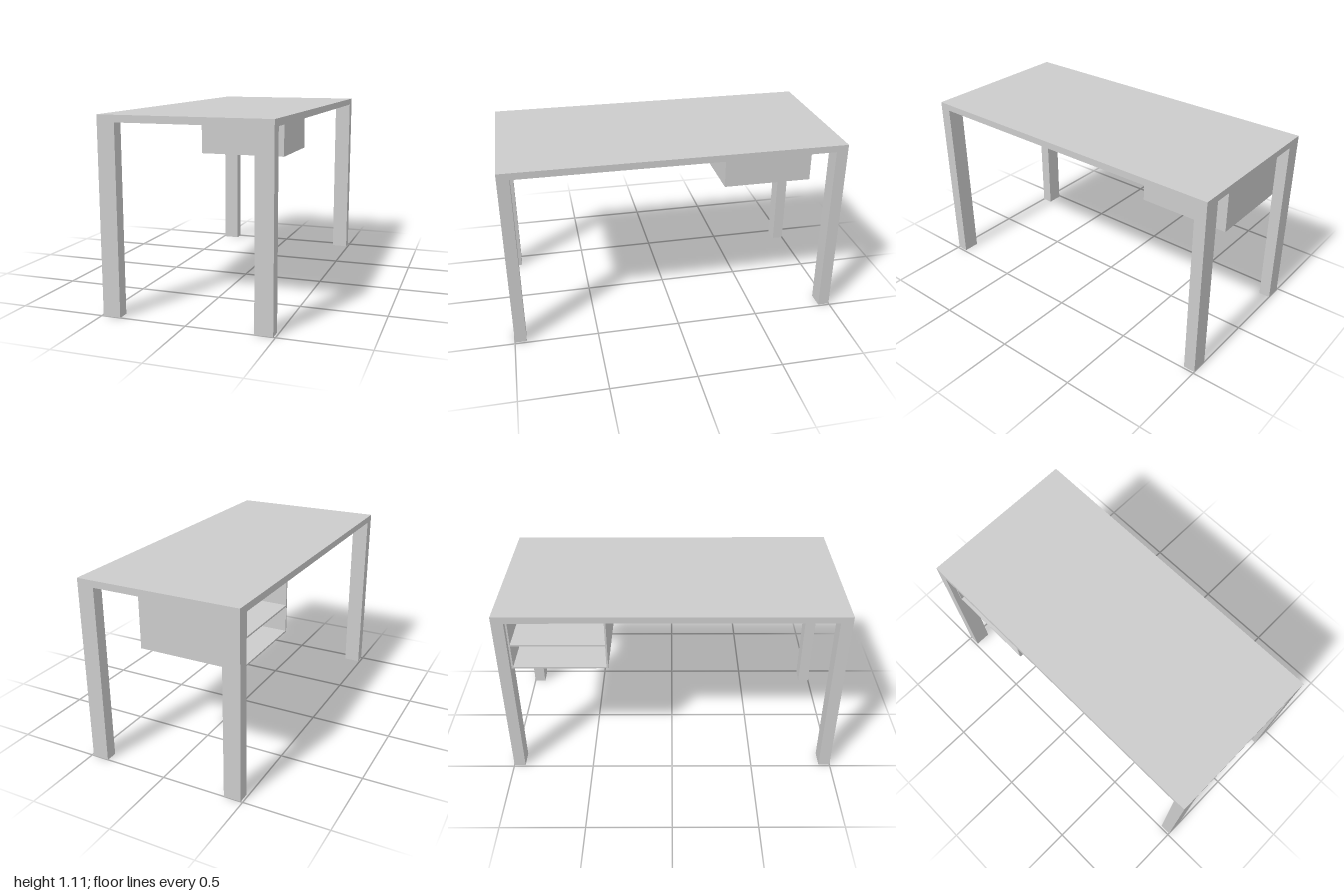
import * as THREE from 'three';

export function createModel() {
  const model = new THREE.Group();
  model.name = 'desk';
  const material = new THREE.MeshStandardMaterial({ color: 0xcccccc });

  // Box given by its lower and upper bounds on each axis
  function panel(parent, name, [x0, x1], [y0, y1], [z0, z1]) {
    const mesh = new THREE.Mesh(new THREE.BoxGeometry(x1 - x0, y1 - y0, z1 - z0), material);
    mesh.position.set((x0 + x1) / 2, (y0 + y1) / 2, (z0 + z1) / 2);
    mesh.name = name;
    parent.add(mesh);
  }

  const halfW = 0.488, halfD = 1, height = 1.11, under = 1.07;
  const legW = 0.102, legD = 0.07;

  // Table top, with a leg flush at each corner
  panel(model, 'tableTop', [-halfW, halfW], [under, height], [-halfD, halfD]);
  for (const sz of [1, -1]) {
    for (const sx of [1, -1]) {
      const x = [sx * halfW, sx * (halfW - legW)].sort((a, b) => a - b);
      const z = [sz * halfD, sz * (halfD - legD)].sort((a, b) => a - b);
      panel(model, (sz > 0 ? 'front' : 'back') + (sx > 0 ? 'Left' : 'Right') + 'Leg', x, [0, under], z);
    }
  }

  // Hanging shelf unit under the back end, open towards -x
  const unit = new THREE.Group();
  unit.name = 'shelfUnit';
  model.add(unit);
  const t = 0.01;
  const x0 = -0.455, x1 = 0.15, y0 = 0.74, z0 = -0.93, z1 = -0.37;
  const inX = [x0, x1 - t], inZ = [z0 + t, z1 - t];
  panel(unit, 'unitBackSide', [x0, x1], [y0, under], [z0, z0 + t]);
  panel(unit, 'unitFrontSide', [x0, x1], [y0, under], [z1 - t, z1]);
  panel(unit, 'unitEndPanel', [x1 - t, x1], [y0, under], inZ);
  panel(unit, 'unitBottom', inX, [y0, y0 + t], inZ);
  panel(unit, 'unitShelf', inX, [0.895, 0.905], inZ);

  return model;
}
